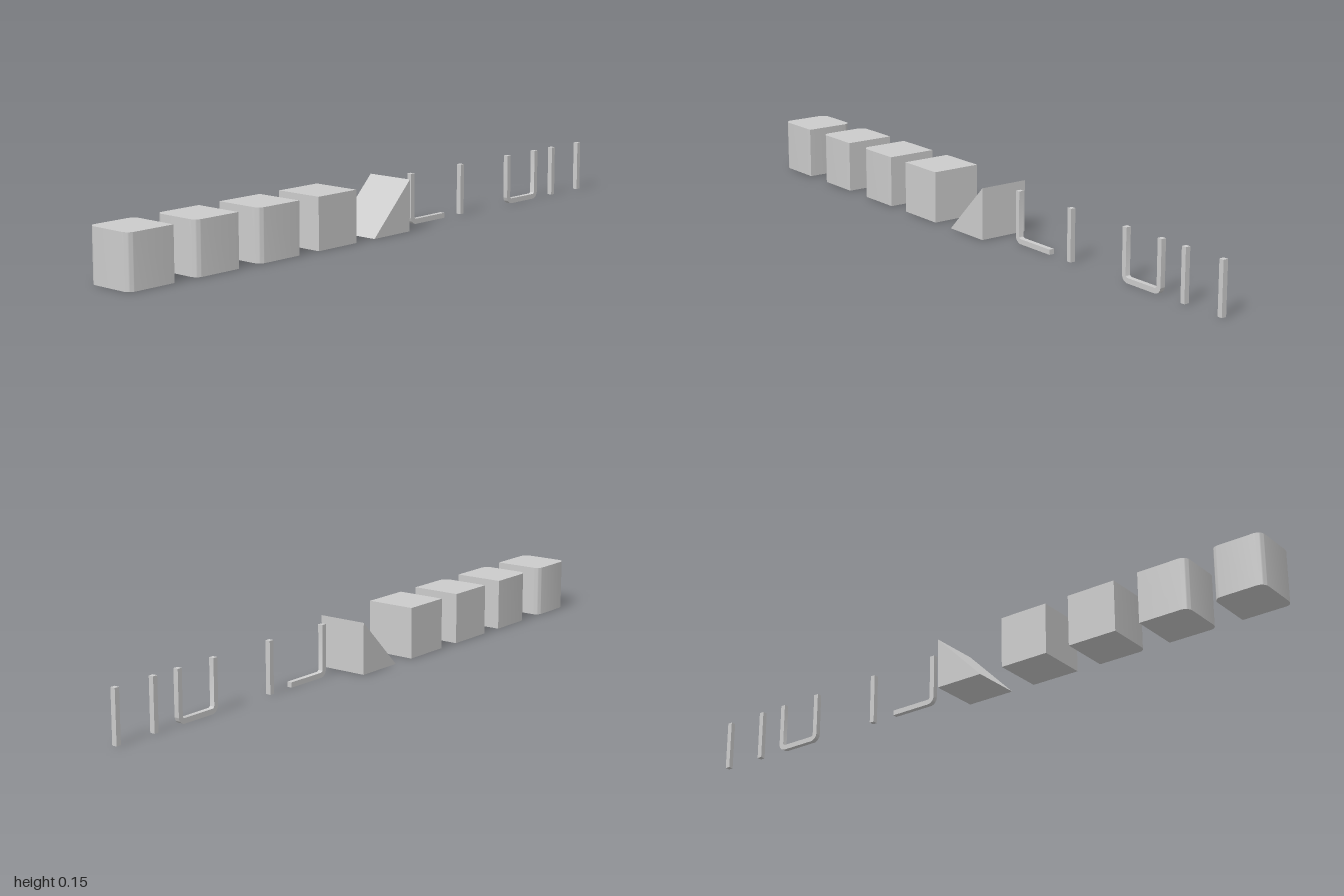
import * as THREE from 'three';
import { toCreasedNormals } from 'three/addons/utils/BufferGeometryUtils.js';

const S = 2 / 13;      // cell size
const H = S / 2;
const T = S / 10;      // rail thickness
const R = S * 0.15;    // outer corner radius
const pitch = S * 1.5;

const material = new THREE.MeshStandardMaterial({ color: 0xcccccc });

// Shape through [x, y, radius] corners, each rounded by its radius
function roundedShape(corners) {
  const shape = new THREE.Shape();
  const n = corners.length;
  corners.forEach(([x, y, r], i) => {
    const p = new THREE.Vector2(x, y);
    const toward = (c) => new THREE.Vector2(c[0], c[1]).sub(p).setLength(r).add(p);
    const a = toward(corners[(i + n - 1) % n]);
    const b = toward(corners[(i + 1) % n]);
    if (i === 0) shape.moveTo(a.x, a.y); else shape.lineTo(a.x, a.y);
    if (r > 0) {
      // right-angle arc around the point opposite the corner
      const cx = a.x + b.x - x, cy = a.y + b.y - y;
      const a0 = Math.atan2(a.y - cy, a.x - cx), a1 = Math.atan2(b.y - cy, b.x - cx);
      const cross = (a.x - cx) * (b.y - cy) - (a.y - cy) * (b.x - cx);
      shape.absarc(cx, cy, r, a0, a1, cross < 0);
    }
  });
  shape.closePath();
  return shape;
}

function extrude(shape, depth) {
  return new THREE.ExtrudeGeometry(shape, { depth, bevelEnabled: false, curveSegments: 8 });
}

// Profile in the (z, y) plane, extruded from x0 by depth
function sideExtrude(corners, x0, depth) {
  const g = extrude(roundedShape(corners), depth);
  g.rotateY(-Math.PI / 2);
  g.translate(x0 + depth, 0, 0);
  return toCreasedNormals(g, 0.6);
}

// Cube with chosen vertical edges rounded
function blockGeometry([frontLeft, frontRight, backRight, backLeft]) {
  const g = extrude(roundedShape([
    [-H, -H, frontRight * R], [H, -H, frontLeft * R],
    [H, H, backLeft * R], [-H, H, backRight * R],
  ]), S);
  g.rotateX(-Math.PI / 2);
  return toCreasedNormals(g, 0.6);
}

export function createModel() {
  const model = new THREE.Group();
  const add = (name, geometry, slot, dz = 0) => {
    const mesh = new THREE.Mesh(geometry, material);
    mesh.name = name;
    mesh.position.z = 1 - H - slot * pitch + dz;
    model.add(mesh);
  };

  // Wall blocks, from three rounded edges down to none
  add('threeRoundedEdgesBlock', blockGeometry([1, 1, 1, 0]), 0);
  add('twoRoundedEdgesBlock', blockGeometry([1, 1, 0, 0]), 1);
  add('oneRoundedEdgeBlock', blockGeometry([1, 0, 0, 0]), 2);
  add('squareBlock', blockGeometry([0, 0, 0, 0]), 3);

  // Ramp rising toward the back
  add('ramp', sideExtrude([[-H, 0, 0], [H, 0, 0], [-H, S, 0]], -H, S), 4);

  // Thin rails standing on one side of the centre plane
  const r = R - T;
  add('cornerRail', sideExtrude([
    [-H, 0, 0], [H, 0, R], [H, S, 0], [H - T, S, 0], [H - T, T, r], [-H, T, 0],
  ], 0, T), 5);

  add('channelRail', sideExtrude([
    [-H, 0, R], [H, 0, R], [H, S, 0], [H - T, S, 0],
    [H - T, T, r], [-H + T, T, r], [-H + T, S, 0], [-H, S, 0],
  ], 0, T), 7);

  const post = new THREE.BoxGeometry(T, S, T).translate(T / 2, H, 0);
  add('singlePost', post, 6, H - T / 2);
  add('pairPostFront', post, 8, H - T / 2);
  add('pairPostBack', post, 8, -H + T / 2);

  return model;
}
